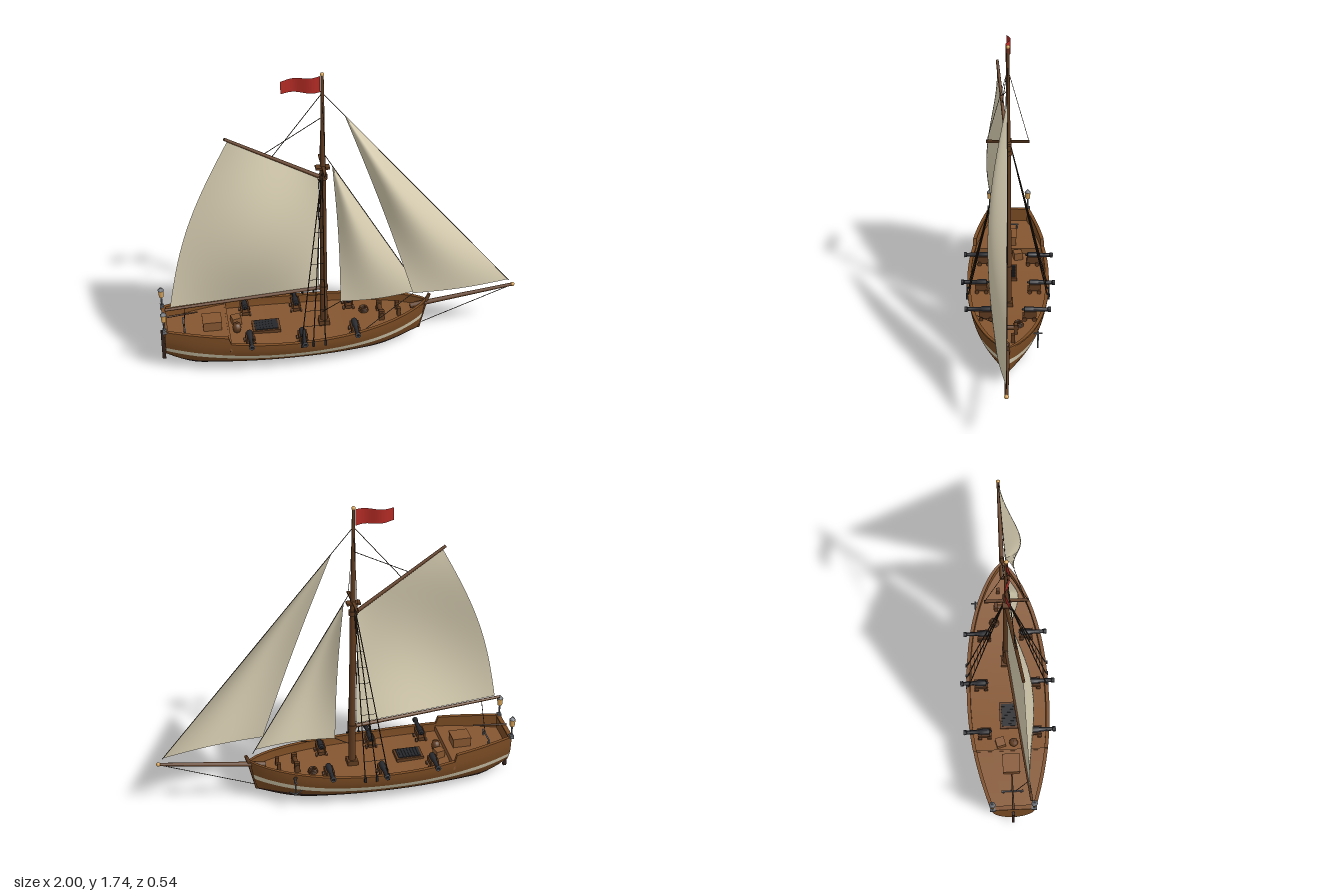
import * as THREE from 'three';
import { toCreasedNormals } from 'three/addons/utils/BufferGeometryUtils.js';

const V = (x, y, z = 0) => new THREE.Vector3(x, y, z);
const lerp = THREE.MathUtils.lerp;

export function createModel() {
  const ship = new THREE.Group();
  ship.name = 'sailingShip';
  const mat = (name, color, side = THREE.FrontSide) => {
    const m = new THREE.MeshStandardMaterial({ color, side });
    m.name = name;
    return m;
  };
  const hullM = mat('hull brown', 0x7b4c24), bottomM = mat('bottom dark brown', 0x32201a, THREE.DoubleSide);
  const sailM = mat('canvas', 0xd6ccb0, THREE.DoubleSide), flagM = mat('flag red', 0xb02a24, THREE.DoubleSide);
  const ironM = mat('iron black', 0x26272b), steelM = mat('steel grey', 0x6c7076);
  const sparM = mat('spar brown', 0x5f3b20), deckM = mat('deck brown', 0x855630);
  const lampM = mat('lamp amber', 0xd9a458), ropeM = mat('rope dark', 0x2e241b);

  const add = (name, geo, m, p = V(0, 0), parent = ship) => {
    const mesh = new THREE.Mesh(geo, m);
    mesh.name = name;
    mesh.position.copy(p);
    parent.add(mesh);
    return mesh;
  };
  const box = (name, w, h, d, m, p, parent) => add(name, new THREE.BoxGeometry(w, h, d), m, p, parent);
  // round bar between two points
  const bar = (name, a, b, r0, r1, m, sides = 10) => {
    const d = b.clone().sub(a);
    const mesh = add(name, new THREE.CylinderGeometry(r1, r0, d.length(), sides), m, a.clone().lerp(b, 0.5));
    mesh.quaternion.setFromUnitVectors(V(0, 1), d.normalize());
    return mesh;
  };
  const rope = (name, a, b, r = 0.002) => bar(name, a, b, r, r, ropeM, 5);
  // surface grid from fn(i, j) => Vector3
  const grid = (nu, nv, fn, flip = false) => {
    const pos = [], idx = [], n = nv + 1;
    for (let i = 0; i <= nu; i++) for (let j = 0; j <= nv; j++) pos.push(...fn(i, j).toArray());
    for (let i = 0; i < nu; i++) for (let j = 0; j < nv; j++) {
      const a = i * n + j, b = a + n, c = b + 1, d = a + 1;
      idx.push(...(flip ? [a, c, b, a, d, c] : [a, b, c, a, c, d]));
    }
    const g = new THREE.BufferGeometry();
    g.setAttribute('position', new THREE.Float32BufferAttribute(pos, 3));
    g.setIndex(idx);
    g.computeVertexNormals();
    return g;
  };

  // Hull lines: beam, keel, sheer, stripe and deck heights along x
  const beam = x => x < -0.33 ? 0.23 - 0.11 * ((-0.33 - x) / 0.65) ** 2
    : 0.23 * Math.max(0, 1 - ((x + 0.33) / 0.82) ** 2.4) ** 0.75;
  const keel = x => x < -0.8 ? 0.068 * ((-0.8 - x) / 0.18) ** 1.4 : x > 0.15 ? 0.07 * ((x - 0.15) / 0.34) ** 2 : 0;
  const sheer = x => 0.205 + 0.05 * ((x + 0.2) / 0.7) ** 2;
  const rail = x => x <= -0.639 ? 0.265 + 0.02 * (-0.64 - x) / 0.34 : sheer(x);
  const stripe = x => 0.1 + 0.04 * ((x + 0.25) / 0.73) ** 2;
  const deckY = x => x < -0.63 ? 0.21 : sheer(x) - 0.045;
  const halfWidth = (x, y) => {
    const t = THREE.MathUtils.clamp((y - keel(x)) / (sheer(x) - keel(x)), 0, 1);
    return beam(x) * (1 - (1 - t) ** 2.1) ** 0.55;
  };
  const onHull = (x, y, side, inset = 0) => {
    const k = THREE.MathUtils.smoothstep(x, 0.1, 0.49);
    return V(x - 0.04 * k * (1 - y / sheer(x)), y, side * Math.max(0, halfWidth(x, y) - inset));
  };
  const stations = [];
  for (let i = 0; i <= 8; i++) stations.push(lerp(-0.98, -0.64, i / 8));
  for (let i = 0; i <= 44; i++) stations.push(-0.628 + 1.118 * Math.sin(i / 44 * Math.PI / 2));
  const ns = stations.length - 1;
  const band = (name, lo, hi, rows, m, inset = 0) => {
    for (const s of [1, -1]) add(name, grid(ns, rows, (i, j) => {
      const x = stations[i];
      return onHull(x, lerp(lo(x), hi(x), j / rows), s, inset);
    }, (s < 0) !== (inset > 0)), m);
  };
  const water = () => 0.075, stripeTop = x => stripe(x) + 0.03;
  band('hullBottom', keel, water, 10, bottomM);
  band('hullSide', water, stripe, 3, hullM);
  band('hullStripe', stripe, stripeTop, 2, sailM);
  band('bulwark', stripeTop, rail, 4, hullM);
  band('innerBulwark', deckY, rail, 2, hullM, 0.012);

  // Rail cap, a small four-sided strip along the sheer
  const cap = [[0.004, -0.004], [0.004, 0.005], [-0.016, 0.005], [-0.016, -0.004], [0.004, -0.004]];
  for (const s of [1, -1]) add('railCap', toCreasedNormals(grid(ns, 4, (i, j) => {
    const x = stations[i];
    return V(x, rail(x) + cap[j][1], s * Math.max(0, beam(x) + cap[j][0]));
  }, s < 0), 0.6), hullM);

  // Transom and decks
  for (const [x, flip] of [[-0.98, false], [-0.966, true]]) add('transom', grid(12, 12, (i, j) => {
    const y = lerp(keel(-0.98), 0.285, j / 12);
    return V(x, y, (i / 6 - 1) * halfWidth(-0.98, y));
  }, flip), hullM);
  box('transomCap', 0.024, 0.01, 0.25, hullM, V(-0.974, 0.287));
  const deck = (name, x0, x1, n) => add(name, grid(n, 4, (i, j) => {
    const x = lerp(x0, x1, i / n), y = deckY(x);
    return V(x, y, (1 - j / 2) * Math.max(0, halfWidth(x, y) - 0.008));
  }), deckM);
  deck('quarterDeck', -0.975, -0.6301, 10);
  deck('mainDeck', -0.63, 0.465, 36);
  box('deckStep', 0.01, 0.04, 0.41, deckM, V(-0.628, 0.194));

  // Stem, rudder, tiller and sheet horse
  bar('stem', V(0.45, 0.07), V(0.492, 0.25), 0.009, 0.01, sparM, 8);
  bar('stemHead', V(0.488, 0.24), V(0.508, 0.29), 0.012, 0.01, sparM, 8);
  box('rudder', 0.02, 0.19, 0.014, bottomM, V(-0.99, 0.115));
  bar('tiller', V(-0.985, 0.298), V(-0.79, 0.315), 0.006, 0.004, sparM, 8);
  bar('sheetHorse', V(-0.87, 0.24, -0.06), V(-0.87, 0.24, 0.06), 0.005, 0.005, steelM, 8);
  for (const z of [-0.05, 0.05]) bar('horsePost', V(-0.87, 0.21, z), V(-0.87, 0.24, z), 0.005, 0.005, steelM, 8);

  // Mast, spars and crosstrees
  bar('mast', V(-0.09, 0.15), V(-0.09, 1.18), 0.021, 0.016, sparM, 16);
  bar('topmast', V(-0.09, 1.18), V(-0.09, 1.72), 0.014, 0.008, sparM, 14);
  add('mastCap', new THREE.SphereGeometry(0.011, 12, 8), lampM, V(-0.09, 1.725));
  box('mastStep', 0.06, 0.03, 0.06, sparM, V(-0.09, 0.175));
  box('crosstree', 0.016, 0.01, 0.23, sparM, V(-0.09, 1.185));
  box('trestle', 0.075, 0.012, 0.04, sparM, V(-0.092, 1.178));
  for (const y of [0.405, 1.12]) add('mastBand', new THREE.CylinderGeometry(0.024, 0.024, 0.025, 16), sparM, V(-0.09, y));
  bar('bowsprit', V(0.4, 0.222), V(0.985, 0.303), 0.015, 0.009, sparM, 12);
  add('bowspritTip', new THREE.SphereGeometry(0.012, 12, 8), lampM, V(0.988, 0.304));
  const boomEnd = V(-0.97, 0.422, 0.1), gaffEnd = V(-0.605, 1.43, 0.062);
  bar('boom', V(-0.1, 0.405), boomEnd, 0.011, 0.008, sparM);
  bar('gaff', V(-0.1, 1.118), gaffEnd, 0.011, 0.008, sparM);

  // Sails: bilinear between four corners, with belly and a curved leech
  const sail = (name, tack, clew, head, peak, belly, roach, foot) => add(name, grid(20, 24, (i, j) => {
    const u = i / 20, v = j / 24;
    const p = tack.clone().lerp(clew, u).lerp(head.clone().lerp(peak, u), v);
    p.x -= roach * u * Math.sin(Math.PI * v);
    p.z += belly * Math.sin(Math.PI * u) * (foot * (1 - v) + (1 - foot) * Math.sin(Math.PI * v));
    return p;
  }), sailM);
  sail('mainsail', V(-0.115, 0.418, 0.005), V(-0.94, 0.434, 0.097), V(-0.115, 1.115, 0.004), V(-0.59, 1.412, 0.06), 0.08, 0.055, 0);
  const staysailHead = V(-0.04, 1.18), jibHead = V(0.025, 1.48);
  sail('staysail', V(0.455, 0.325), V(0, 0.318, 0.03), staysailHead, staysailHead, 0.08, -0.01, 0.3);
  sail('jib', V(0.96, 0.34), V(0.4, 0.357, 0.07), jibHead, jibHead, 0.09, -0.01, 0.2);

  // Flag
  add('flag', grid(16, 3, (i, j) => {
    const u = i / 16;
    return V(-0.1 - 0.205 * u, lerp(lerp(1.625, 1.635, u), lerp(1.717, 1.705, u), j / 3), 0.014 * Math.sin(u * 7));
  }), flagM);

  // Standing and running rigging
  const lines = [
    [V(-0.09, 1.62), V(0.965, 0.335)], [V(-0.09, 1.27), V(0.47, 0.3)],
    [V(-0.09, 1.62), V(-0.36, 1.285, 0.032)], [V(-0.09, 1.48), V(-0.4, 1.31, 0.037)],
    [V(0.98, 0.298), V(0.468, 0.1)], [V(-0.86, 0.418, 0.088), V(-0.87, 0.245, 0.02)],
    [V(0.4, 0.357, 0.07), V(0.12, 0.22, 0.17)], [V(0, 0.318, 0.03), V(-0.1, 0.26, 0.03)],
  ];
  lines.forEach(([a, b]) => rope('rigging', a, b));
  for (const s of [1, -1]) {
    rope('topmastShroud', V(-0.09, 1.6), V(-0.09, 1.187, s * 0.112), 0.0015);
    const feet = [-0.245, -0.18, -0.115].map(x => V(x, 0.21, s * 0.222));
    const top = V(-0.095, 1.17, s * 0.012);
    for (const f of feet) {
      rope('shroud', f, top, 0.003);
      box('chainplate', 0.012, 0.035, 0.012, ironM, V(f.x, 0.198, s * 0.23));
    }
    for (let i = 1; i <= 8; i++) rope('ratline', feet[0].clone().lerp(top, i * 0.092), feet[2].clone().lerp(top, i * 0.092), 0.0015);

    // Stern lanterns
    const at = y => V(-0.98, y, s * 0.115);
    bar('lanternPost', at(0.28), at(0.36), 0.005, 0.005, steelM, 8);
    box('lanternFoot', 0.022, 0.02, 0.03, steelM, at(0.29));
    add('lantern', new THREE.CylinderGeometry(0.017, 0.014, 0.042, 6), lampM, at(0.38));
    add('lanternCap', new THREE.ConeGeometry(0.019, 0.022, 6), steelM, at(0.412));

    // Cannons
    for (const x of [-0.52, -0.23, 0.065]) {
      const gun = new THREE.Group();
      gun.name = 'cannon';
      gun.position.set(x, deckY(x), s * (beam(x) - 0.11));
      if (s < 0) gun.rotation.y = Math.PI;
      ship.add(gun);
      const prof = [[0, -0.012], [0.007, -0.008], [0.006, 0], [0.017, 0.004], [0.017, 0.05], [0.013, 0.06], [0.011, 0.13], [0.015, 0.134], [0.015, 0.146], [0.008, 0.147], [0.008, 0.135], [0, 0.135]];
      const barrel = new THREE.LatheGeometry(prof.map(p => new THREE.Vector2(...p)), 14);
      add('barrel', toCreasedNormals(barrel.rotateX(Math.PI / 2), 0.6), ironM, V(0, 0.06), gun);
      add('muzzleRing', new THREE.TorusGeometry(0.012, 0.004, 8, 16), steelM, V(0, 0.06, 0.146), gun);
      box('carriageBed', 0.036, 0.02, 0.075, sparM, V(0, 0.022, 0.03), gun);
      for (const k of [-1, 1]) {
        box('carriageCheek', 0.009, 0.03, 0.07, sparM, V(k * 0.02, 0.042, 0.035), gun);
        for (const z of [0.005, 0.058])
          add('wheel', new THREE.CylinderGeometry(0.012, 0.012, 0.008, 12).rotateZ(Math.PI / 2), sparM, V(k * 0.028, 0.012, z), gun);
      }
    }
    box('windlassPost', 0.03, 0.06, 0.02, sparM, V(0.23, deckY(0.23) + 0.03, s * 0.045));
    box('bowBitt', 0.02, 0.05, 0.02, sparM, V(0.33, deckY(0.33) + 0.025, s * 0.03));
  }
  bar('windlass', V(0.23, 0.215, -0.06), V(0.23, 0.215, 0.06), 0.013, 0.013, sparM, 10);

  // Deck cargo, hatch and rope coil
  box('largeCrate', 0.1, 0.05, 0.09, deckM, V(-0.715, 0.235));
  box('largeCrateLid', 0.106, 0.008, 0.096, deckM, V(-0.715, 0.262));
  box('smallCrate', 0.05, 0.045, 0.05, deckM, V(-0.578, deckY(-0.578) + 0.022, -0.055)).rotation.y = 0.25;
  add('keg', new THREE.LatheGeometry([[0, 0], [0.019, 0], [0.025, 0.025], [0.019, 0.05], [0, 0.05]].map(p => new THREE.Vector2(...p)), 14), sparM, V(-0.58, deckY(-0.58), 0.02));
  box('hatchFrame', 0.155, 0.02, 0.105, sparM, V(-0.415, 0.172));
  box('hatch', 0.13, 0.006, 0.084, ironM, V(-0.415, 0.183));
  for (let i = -3; i <= 3; i++) box('hatchBar', 0.005, 0.004, 0.084, ironM, V(-0.415 + i * 0.017, 0.187));
  for (let i = 0; i < 3; i++)
    add('ropeCoil', new THREE.TorusGeometry(0.024 - i * 0.002, 0.005, 8, 20).rotateX(Math.PI / 2), sparM, V(0.145, deckY(0.145) + 0.005 + i * 0.008, -0.06));

  // Anchor slung on the right bow
  const a = (x, y, z) => V(0.262 + x, y, -0.165 + z);
  bar('anchorShank', a(0, 0.11, 0), a(0, 0.21, 0), 0.005, 0.005, steelM, 8);
  bar('anchorStock', a(0, 0.2, -0.025), a(0, 0.2, 0.025), 0.005, 0.005, steelM, 8);
  for (const k of [-1, 1]) bar('anchorArm', a(0, 0.11, 0), a(k * 0.036, 0.135, 0), 0.005, 0.003, steelM, 8);
  add('anchorRing', new THREE.TorusGeometry(0.009, 0.002, 6, 14), steelM, a(0, 0.217, 0));
  return ship;
}
